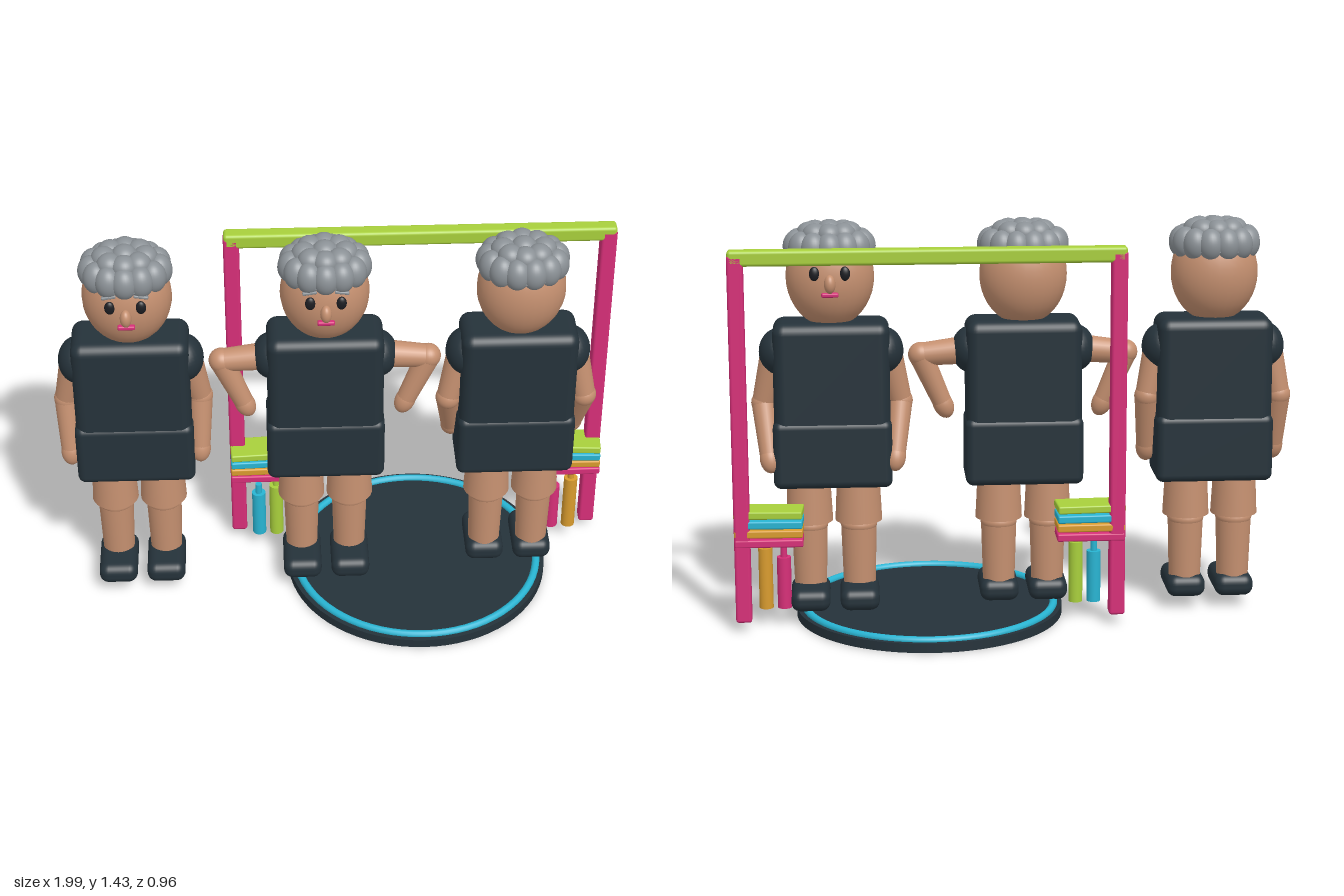
import * as THREE from 'three';
import { RoundedBoxGeometry } from 'three/addons/geometries/RoundedBoxGeometry.js';

const mat = (name, color) => Object.assign(new THREE.MeshStandardMaterial({ color }), { name });

export function createModel() {
  const skin = mat('skin', 0xc59070), dark = mat('dark cloth', 0x25323a), gray = mat('gray hair', 0x8b9196);
  const pink = mat('pink', 0xd62f78), cyan = mat('cyan', 0x28b4d2), green = mat('lime green', 0xa8cf3c);
  const orange = mat('orange', 0xd89b2e), black = mat('eye black', 0x1c1d22);
  const root = new THREE.Group();
  root.name = 'threeFiguresAndRack';

  const add = (parent, name, geo, material, x, y, z) => {
    const m = new THREE.Mesh(geo, material);
    m.name = name;
    m.position.set(x, y, z);
    parent.add(m);
    return m;
  };
  const box = (p, name, material, w, h, d, x, y, z, r = 0.008) =>
    add(p, name, new RoundedBoxGeometry(w, h, d, 4, r), material, x, y, z);
  const ball = (p, name, material, rx, ry, rz, x, y, z) => {
    const m = add(p, name, new THREE.SphereGeometry(1, 28, 20), material, x, y, z);
    m.scale.set(rx, ry, rz);
    return m;
  };
  const tube = (p, name, material, rTop, rBottom, y0, y1, x, z) =>
    add(p, name, new THREE.CylinderGeometry(rTop, rBottom, y1 - y0, 28), material, x, (y0 + y1) / 2, z);
  // Tapered limb from point a to point b
  const limb = (p, name, a, b, ra, rb) => {
    const A = new THREE.Vector3(...a), B = new THREE.Vector3(...b), d = B.clone().sub(A);
    const m = add(p, name, new THREE.CylinderGeometry(rb, ra, d.length(), 24), skin, 0, 0, 0);
    m.position.copy(A).add(B).multiplyScalar(0.5);
    m.quaternion.setFromUnitVectors(new THREE.Vector3(0, 1, 0), d.normalize());
    return m;
  };

  // Curly hair: a cap covered with rings of curls
  function hair(p) {
    const cap = add(p, 'hairCap', new THREE.SphereGeometry(1, 28, 10, 0, Math.PI * 2, 0, Math.PI / 2), gray, 0, 1.32, 0);
    cap.scale.set(0.147, 0.1, 0.125);
    const rings = [[13, 0.117, 0.093, 1.343, 0.046, 0.058], [8, 0.07, 0.058, 1.388, 0.044, 0.04], [1, 0, 0, 1.395, 0.045, 0.04]];
    for (const [n, rx, rz, y, r, ry] of rings)
      for (let i = 0; i < n; i++) {
        const t = (i / n) * Math.PI * 2;
        ball(p, 'curl', gray, r, ry, r, Math.sin(t) * rx, y, Math.cos(t) * rz);
      }
  }

  // One standing person; elbow and wrist are given for the +x side and mirrored
  function person(name, x, turn, elbow, wrist) {
    const g = new THREE.Group();
    g.name = name;
    g.position.x = x;
    g.rotation.y = turn;
    root.add(g);
    box(g, 'upperTunic', dark, 0.41, 0.41, 0.205, 0, 0.875, 0, 0.04);
    box(g, 'lowerTunic', dark, 0.42, 0.245, 0.215, 0, 0.61, 0, 0.028);
    ball(g, 'head', skin, 0.155, 0.18, 0.13, 0, 1.235, 0);
    ball(g, 'nose', skin, 0.02, 0.033, 0.024, 0, 1.228, 0.134);
    box(g, 'mouth', pink, 0.06, 0.016, 0.02, 0, 1.19, 0.131, 0.006);
    hair(g);
    for (const s of [-1, 1]) {
      ball(g, 'eye', black, 0.018, 0.025, 0.012, s * 0.053, 1.263, 0.12);
      box(g, 'eyebrow', gray, 0.05, 0.011, 0.014, s * 0.055, 1.302, 0.113, 0.004).rotation.z = -s * 0.15;
      // Arm
      const shoulder = [s * 0.2, 0.965, 0];
      const e = [s * elbow[0], elbow[1], elbow[2]], w = [s * wrist[0], wrist[1], wrist[2]];
      ball(g, 'sleeve', dark, 0.068, 0.083, 0.084, s * 0.187, 0.967, 0);
      limb(g, 'upperArm', shoulder, e, 0.05, 0.041);
      ball(g, 'elbow', skin, 0.044, 0.044, 0.044, ...e);
      limb(g, 'forearm', e, w, 0.043, 0.034);
      const hand = ball(g, 'hand', skin, 0.036, 0.052, 0.036, ...w);
      hand.quaternion.setFromUnitVectors(new THREE.Vector3(0, 1, 0),
        new THREE.Vector3(...e).sub(new THREE.Vector3(...w)).normalize());
      // Leg and shoe
      const lx = s * 0.088;
      tube(g, 'thigh', skin, 0.076, 0.084, 0.35, 0.51, lx, 0);
      ball(g, 'knee', skin, 0.066, 0.04, 0.066, lx, 0.335, 0);
      tube(g, 'shin', skin, 0.064, 0.057, 0.1, 0.335, lx, 0);
      box(g, 'shoe', dark, 0.14, 0.08, 0.225, lx, 0.085, 0.04, 0.034);
    }
  }
  person('standingPerson', -0.715, 0, [0.238, 0.79, -0.015], [0.232, 0.59, 0.035]);
  person('handsOnHipsPerson', -0.035, 0, [0.365, 0.95, 0], [0.285, 0.765, 0.01]);
  person('turnedPerson', 0.645, Math.PI, [0.243, 0.78, -0.02], [0.222, 0.595, 0.068]);

  // Round platform with a bright rim
  tube(root, 'platform', dark, 0.48, 0.48, 0, 0.033, 0.305, 0).geometry =
    new THREE.CylinderGeometry(0.48, 0.48, 0.033, 72);
  add(root, 'platformRim', new THREE.TorusGeometry(0.45, 0.014, 12, 72), cyan, 0.305, 0.036, 0).rotation.x = Math.PI / 2;

  // Frame
  for (const x of [-0.355, 0.967]) box(root, 'post', pink, 0.056, 1.31, 0.056, x, 0.69, -0.188, 0.01);
  box(root, 'crossbar', green, 1.375, 0.055, 0.056, 0.306, 1.333, -0.188, 0.012);

  // Shelves with folded towels, and bottles below
  const layers = [[pink, 0.324, 0], [orange, 0.358, 0.02], [cyan, 0.391, 0.04], [green, 0.426, 0.06]];
  for (const s of [-1, 1]) {
    const x = 0.306 + s * 0.567;
    for (const [m, y, a] of layers)
      box(root, m === pink ? 'shelf' : 'towel', m, 0.24, 0.028, 0.115, x, y, -0.16, 0.006).rotation.y = -s * a;
  }
  const bottles = [[cyan, -0.28, 0.25], [green, -0.215, 0.285], [pink, 0.825, 0.25], [orange, 0.89, 0.285]];
  for (const [m, x, top] of bottles) {
    tube(root, 'bottle', m, 0.025, 0.025, 0.063, top, x, -0.122);
    tube(root, 'bottleNeck', m, 0.012, 0.012, top, top + 0.04, x, -0.122);
  }

  return root;
}
